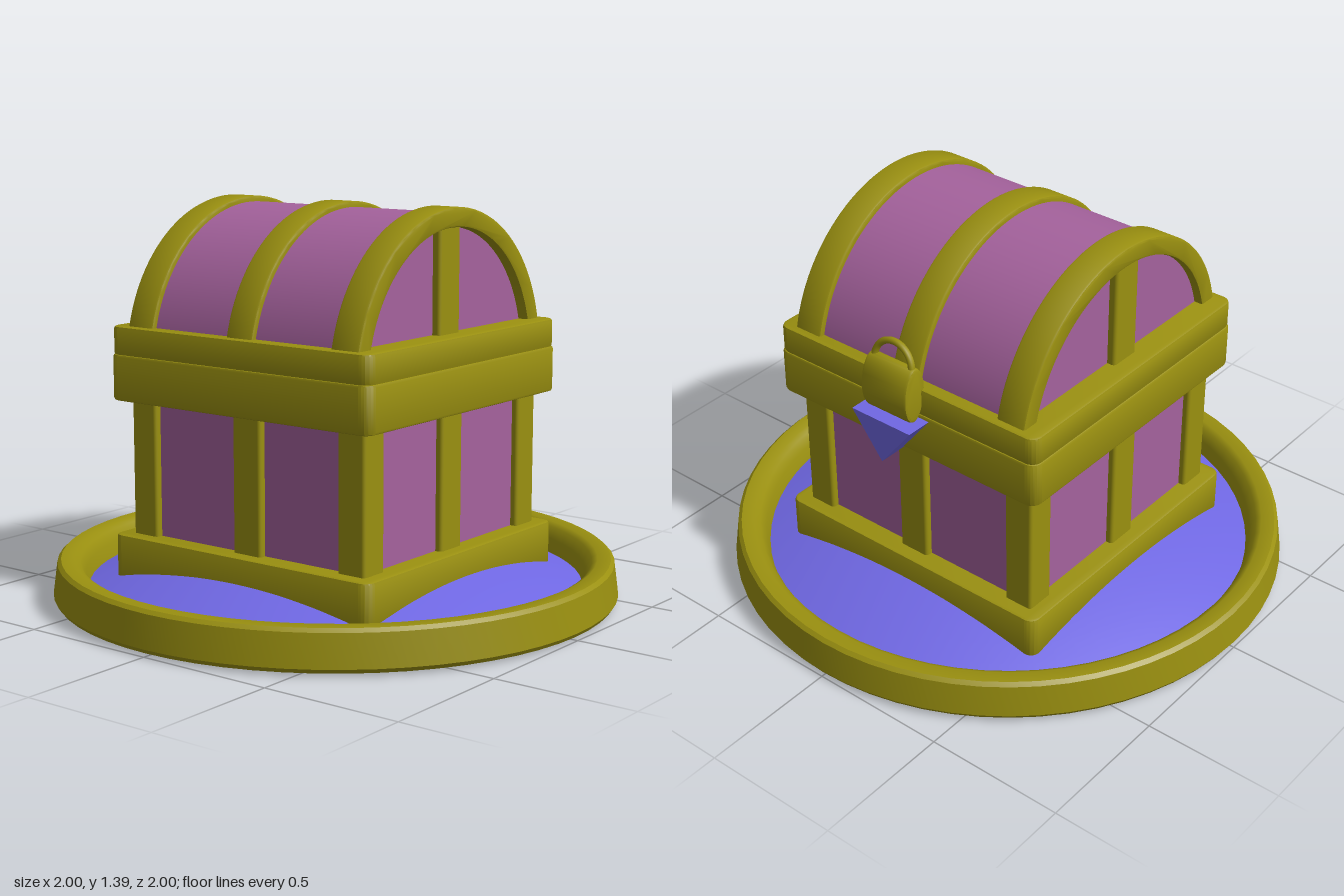
import * as THREE from 'three';
import { toCreasedNormals } from 'three/addons/utils/BufferGeometryUtils.js';
import { RoundedBoxGeometry } from 'three/addons/geometries/RoundedBoxGeometry.js';

const material = (name, color) => Object.assign(new THREE.MeshStandardMaterial({ color }), { name });

export function createModel() {
  const gold = material('olive gold', 0x9a9010);
  const wood = material('purple wood', 0xa5629d);
  const blue = material('blue', 0x7068e4);
  const model = new THREE.Group();
  model.name = 'treasureChest';

  const add = (name, geometry, mat, x = 0, y = 0, z = 0, parent = model) => {
    const mesh = new THREE.Mesh(geometry, mat);
    mesh.name = name;
    mesh.position.set(x, y, z);
    parent.add(mesh);
    return mesh;
  };
  const box = (w, h, d, r = 0.012) => new RoundedBoxGeometry(w, h, d, 2, r);
  const lathe = (points, segments = 64) =>
    toCreasedNormals(new THREE.LatheGeometry(points.map(p => new THREE.Vector2(...p)), segments), 0.6);
  // Extrusion along z, centred on z = 0
  const extrude = (shape, depth, bevel = 0) => {
    const g = new THREE.ExtrudeGeometry(shape, {
      depth: depth - 2 * bevel, curveSegments: 28, bevelEnabled: bevel > 0,
      bevelSize: bevel, bevelThickness: bevel, bevelOffset: -bevel, bevelSegments: 2,
    });
    g.translate(0, 0, bevel - depth / 2);
    return toCreasedNormals(g, 0.5);
  };

  // Round base with a raised rim and a domed floor
  add('baseRim', lathe([[0, 0], [0.88, 0], [0.885, 0.01], [0.99, 0.01], [1, 0.025], [0.985, 0.138],
    [0.972, 0.15], [0.925, 0.15], [0.905, 0.138], [0.885, 0.1], [0.87, 0.03]]), gold);
  const dome = [];
  for (let i = 0; i <= 12; i++) {
    const t = 1 - i / 12;
    dome.push([0.875 * t, 0.05 + 0.16 * (1 - t * t)]);
  }
  add('baseFloor', lathe(dome), blue);

  // Square slabs with rounded corners: plinth and the two belts
  const slab = (name, half, y0, y1) => {
    const s = new THREE.Shape(), r = 0.04, c = half - r;
    s.absarc(c, c, r, 0, Math.PI / 2);
    s.absarc(-c, c, r, Math.PI / 2, Math.PI);
    s.absarc(-c, -c, r, Math.PI, Math.PI * 1.5);
    s.absarc(c, -c, r, Math.PI * 1.5, Math.PI * 2);
    const g = extrude(s, y1 - y0, 0.01);
    g.rotateX(-Math.PI / 2);
    add(name, g, gold, 0, (y0 + y1) / 2, 0);
  };
  slab('plinth', 0.558, 0.07, 0.235);
  slab('lowerBelt', 0.56, 0.71, 0.873);
  slab('upperBelt', 0.557, 0.868, 0.97);

  // Chest body with corner posts and a middle post on each side
  add('bodyPanels', new THREE.BoxGeometry(0.96, 0.62, 0.96), wood, 0, 0.45, 0);
  for (const x of [-1, 1]) for (const z of [-1, 1])
    add('cornerPost', box(0.11, 0.54, 0.11), gold, x * 0.45, 0.47, z * 0.45);
  for (const s of [-1, 1]) {
    add('middlePost', box(0.12, 0.54, 0.06), gold, -0.012, 0.47, s * 0.475);
    add('middlePost', box(0.06, 0.54, 0.12), gold, s * 0.475, 0.47, 0.012);
  }

  // Barrel lid: wooden core, three arched bands and upright end straps
  const lidY = 0.85;
  const core = new THREE.Shape();
  core.absarc(0, 0, 0.522, 0, Math.PI);
  add('lidPanels', extrude(core, 0.92), wood, 0, lidY, 0);
  const arch = new THREE.Shape();
  arch.absarc(0, 0, 0.542, 0, Math.PI);
  arch.absarc(0, 0, 0.475, Math.PI, 0, true);
  for (const z of [-0.437, 0.005, 0.443])
    add('lidBand', extrude(arch, 0.112, 0.008), gold, 0, lidY, z);
  for (const s of [-1, 1])
    add('lidEndStrap', box(0.12, 0.42, 0.05), gold, -0.012, 1.14, s * 0.465);

  // Padlock on the left side, with a wedge-shaped tip
  const lock = new THREE.Group();
  lock.name = 'padlock';
  lock.position.set(0.586, 0.96, 0.008);
  model.add(lock);
  const oval = new THREE.Shape();
  oval.absellipse(0, 0, 0.048, 0.1, 0, Math.PI * 2);
  add('lockBody', extrude(oval, 0.195, 0.01), gold, 0, 0, 0, lock).rotation.z = 0.08;
  const shackle = new THREE.TorusGeometry(0.08, 0.012, 10, 28, Math.PI);
  shackle.rotateY(Math.PI / 2);
  add('shackle', shackle, gold, -0.005, 0.085, 0, lock).rotation.z = 0.15;
  const wedge = new THREE.Shape();
  wedge.moveTo(-0.125, 0.86);
  wedge.lineTo(0, 0.7);
  wedge.lineTo(0.125, 0.86);
  const tip = extrude(wedge, 0.11);
  tip.rotateY(Math.PI / 2);
  add('lockTip', tip, blue, 0.6, 0, 0.004);

  return model;
}
